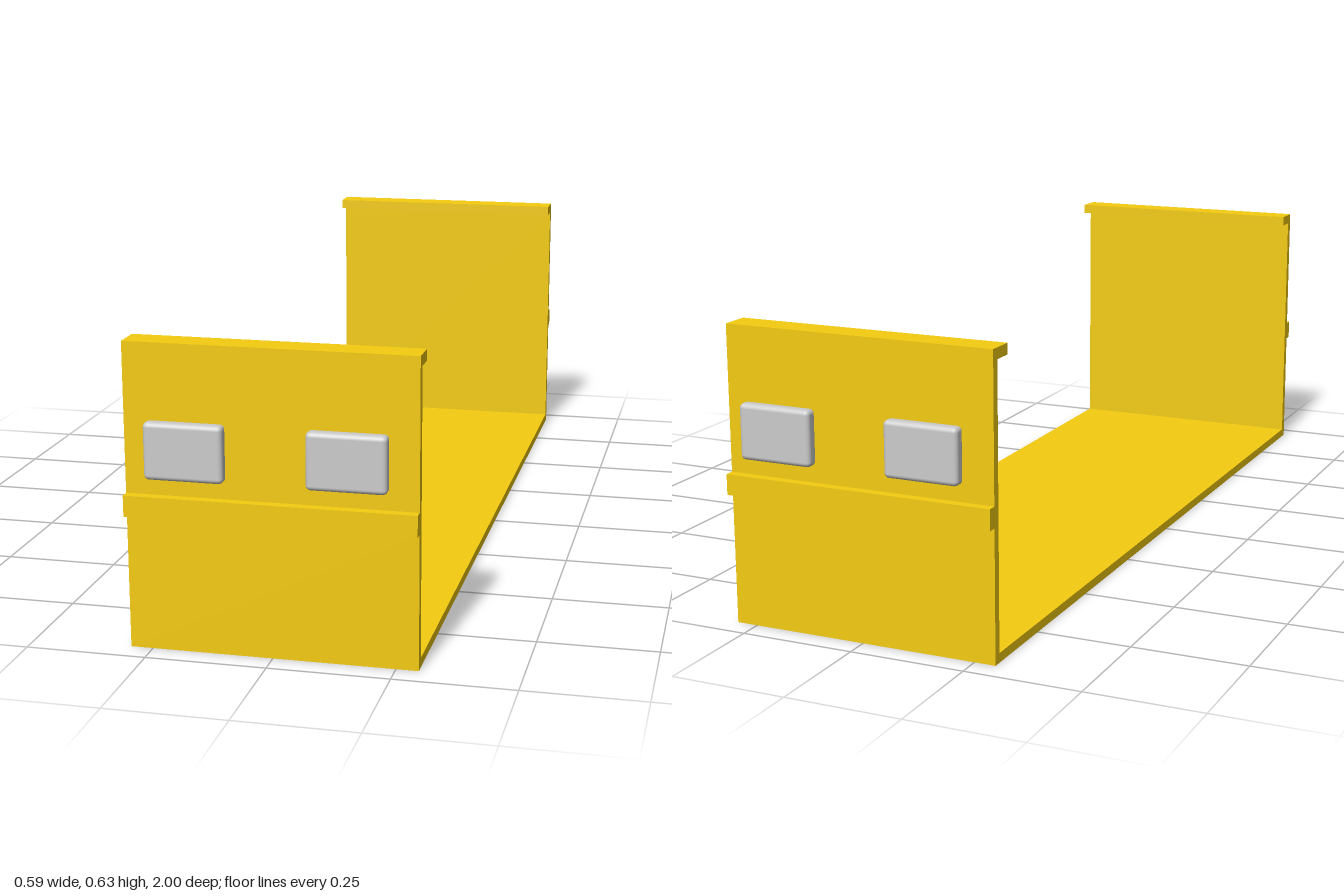
import * as THREE from 'three';
import { RoundedBoxGeometry } from 'three/addons/geometries/RoundedBoxGeometry.js';

const WIDTH = 0.592;

export function createModel() {
  const model = new THREE.Group();
  model.name = 'channelBracket';
  const yellow = new THREE.MeshStandardMaterial({ color: 0xf5cc10 });
  const grey = new THREE.MeshStandardMaterial({ color: 0xcccccc });

  // Half of the side profile as [z, y]: floor, wall, inward lip and outer rib
  const outer = [[0.95, 0], [0.95, 0.281], [0.97, 0.281], [0.97, 0.325], [0.95, 0.325], [0.95, 0.633]];
  const inner = [[0.887, 0.633], [0.887, 0.61], [0.932, 0.61], [0.932, 0.02]];
  const half = [...outer, ...inner];
  const mirrored = half.map(([z, y]) => [-z, y]).reverse();
  const profile = new THREE.Shape([...half, ...mirrored].map(([z, y]) => new THREE.Vector2(z, y)));

  // Bent sheet body, extruded across the width
  const bodyGeometry = new THREE.ExtrudeGeometry(profile, { depth: WIDTH, bevelEnabled: false });
  bodyGeometry.translate(0, 0, -WIDTH / 2).rotateY(-Math.PI / 2);
  const body = new THREE.Mesh(bodyGeometry, yellow);
  body.name = 'channelBody';
  model.add(body);

  // Two rounded pads standing just off each end wall
  const padGeometry = new RoundedBoxGeometry(0.16, 0.116, 0.03, 3, 0.01);
  for (const end of [1, -1]) {
    for (const side of [1, -1]) {
      const pad = new THREE.Mesh(padGeometry, grey);
      pad.name = `${end > 0 ? 'front' : 'back'}${side > 0 ? 'Left' : 'Right'}Pad`;
      pad.position.set(side * 0.162, 0.427, end * 0.985);
      model.add(pad);
    }
  }
  return model;
}
